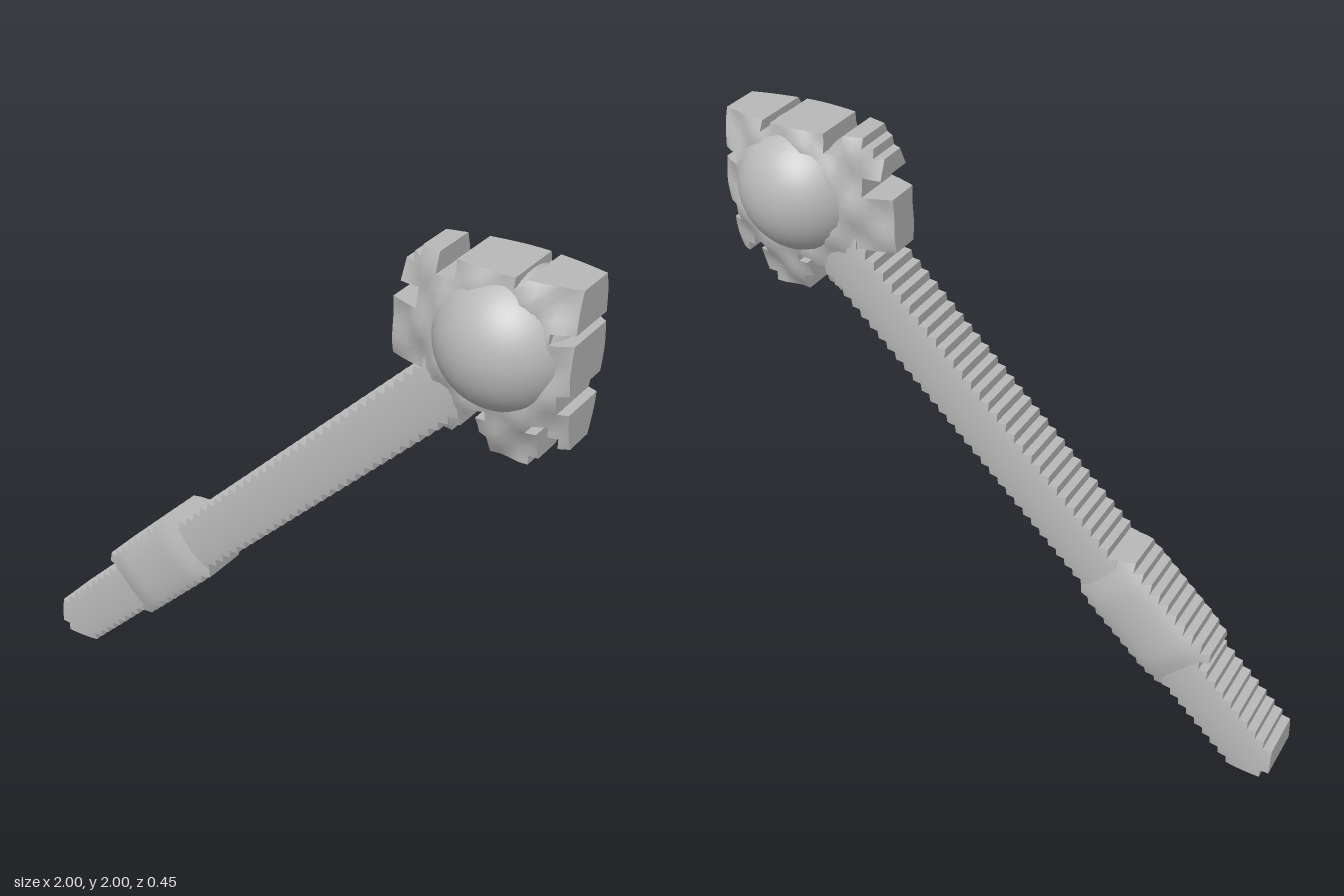
import * as THREE from 'three';

const N = 64, CELL = 2 / N;

// Thick plate made of square cells: stepped rim, smooth domed front and back.
function steppedPlate(name, inside, height, material) {
  const group = new THREE.Group();
  group.name = name;
  const filled = (i, j) => i >= 0 && j >= 0 && i < N && j < N &&
    inside(-1 + (i + 0.5) * CELL, (j + 0.5) * CELL);
  const corner = (i, j, side) => {
    const x = -1 + i * CELL, y = j * CELL;
    return [x, y, side * height(x, y)];
  };

  // front and back faces share vertices so they shade smoothly
  const facePos = [], faceIdx = [], wallPos = [];
  const cache = new Map();
  const vertex = (i, j, side) => {
    const key = `${i},${j},${side}`;
    if (!cache.has(key)) {
      cache.set(key, facePos.length / 3);
      facePos.push(...corner(i, j, side));
    }
    return cache.get(key);
  };
  // rim quad below the edge a -> b, which runs counter-clockwise round a cell
  const wall = (a, b) => {
    const af = corner(...a, 1), bf = corner(...b, 1), ab = corner(...a, -1), bb = corner(...b, -1);
    wallPos.push(...af, ...ab, ...bb, ...af, ...bb, ...bf);
  };
  for (let i = 0; i < N; i++) for (let j = 0; j < N; j++) {
    if (!filled(i, j)) continue;
    for (const side of [1, -1]) {
      const a = vertex(i, j, side), b = vertex(i + 1, j, side);
      const c = vertex(i + 1, j + 1, side), d = vertex(i, j + 1, side);
      if (side > 0) faceIdx.push(a, b, c, a, c, d);
      else faceIdx.push(a, c, b, a, d, c);
    }
    if (!filled(i, j - 1)) wall([i, j], [i + 1, j]);
    if (!filled(i + 1, j)) wall([i + 1, j], [i + 1, j + 1]);
    if (!filled(i, j + 1)) wall([i + 1, j + 1], [i, j + 1]);
    if (!filled(i - 1, j)) wall([i, j + 1], [i, j]);
  }
  const add = (label, positions, index) => {
    const geometry = new THREE.BufferGeometry();
    geometry.setAttribute('position', new THREE.Float32BufferAttribute(positions, 3));
    if (index) geometry.setIndex(index);
    geometry.computeVertexNormals();
    const mesh = new THREE.Mesh(geometry, material);
    mesh.name = label;
    group.add(mesh);
  };
  add(name + 'Faces', facePos, faceIdx);
  add(name + 'Rim', wallPos);
  return group;
}

function insidePolygon(points, x, y) {
  let hit = false;
  points.forEach(([x1, y1], k) => {
    const [x2, y2] = points[(k + 1) % points.length];
    if ((y1 > y) !== (y2 > y) && x < x1 + (x2 - x1) * (y - y1) / (y2 - y1)) hit = !hit;
  });
  return hit;
}

const dome = t => Math.sqrt(Math.max(0, 1 - t * t));

export function createModel() {
  const model = new THREE.Group();
  model.name = 'mace';
  const metal = new THREE.MeshStandardMaterial({ color: 0xb8b8b8 });
  metal.name = 'grey metal';

  // diagonal shaft: 'across' is the offset from its axis, 'along' runs up it
  const across = (x, y) => y - x - 0.985;
  const along = (x, y) => x + y;
  model.add(steppedPlate('shaft',
    (x, y) => Math.abs(across(x, y)) < 0.135 && along(x, y) > -0.94 && along(x, y) < 2.4,
    (x, y) => 0.076 + 0.022 * dome(across(x, y) / 0.16), metal));

  // thicker hand grip, tapered at both ends
  model.add(steppedPlate('grip',
    (x, y) => Math.abs(across(x, y) - 0.008) < 0.168 &&
      along(x, y) > -0.34 && along(x, y) < 0.31,
    (x, y) => {
      const end = Math.min(along(x, y) + 0.36, 0.33 - along(x, y));
      const swell = THREE.MathUtils.smoothstep(end, 0, 0.16);
      return 0.068 + 0.008 * swell + (0.022 + 0.018 * swell) * dome(across(x, y) / 0.19);
    }, metal));

  // ragged flanges round the head
  const outline = [
    [0.55, 1.62], [0.41, 1.64], [0.41, 1.72], [0.40, 1.79], [0.47, 1.82], [0.53, 1.84],
    [0.43, 1.90], [0.46, 1.95], [0.50, 2.0], [0.56, 2.0], [0.575, 1.94], [0.62, 1.94],
    [0.63, 2.0], [0.80, 2.0], [0.80, 1.96], [0.84, 1.96], [0.85, 2.0], [1.0, 2.0],
    [1.0, 1.87], [0.94, 1.86], [0.94, 1.83], [1.0, 1.83], [1.0, 1.69], [0.96, 1.68],
    [0.96, 1.64], [1.0, 1.63], [1.0, 1.50], [0.97, 1.52], [0.94, 1.56], [0.87, 1.57],
    [0.90, 1.53], [0.90, 1.46], [0.86, 1.40], [0.77, 1.40], [0.73, 1.46], [0.73, 1.53],
    [0.77, 1.56], [0.70, 1.57], [0.66, 1.53], [0.64, 1.48], [0.60, 1.44], [0.56, 1.50],
  ];
  const cx = 0.76, cy = 1.772;
  model.add(steppedPlate('flanges',
    (x, y) => insidePolygon(outline, x, y),
    (x, y) => {
      const r = Math.hypot(x - cx, y - cy);
      const base = THREE.MathUtils.clamp(0.1 - 0.36 * (r - 0.24), 0.045, 0.12);
      return base + 0.012 * Math.sin(x * 37 + 1) * Math.sin(y * 33);
    }, metal));

  // round head
  const ball = new THREE.Mesh(new THREE.SphereGeometry(0.223, 48, 32), metal);
  ball.name = 'ball';
  ball.position.set(cx, cy, 0);
  model.add(ball);

  return model;
}
